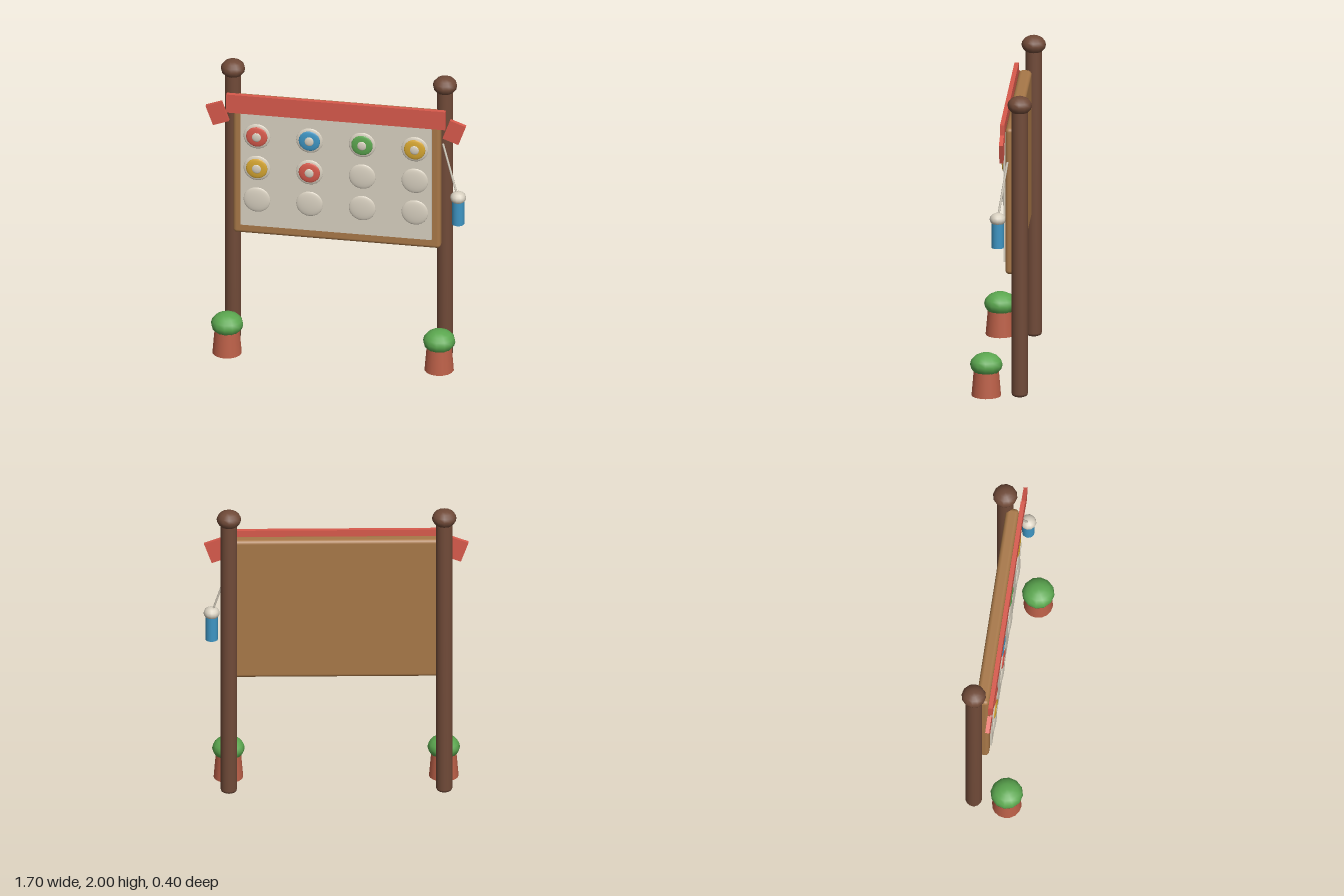
import * as THREE from 'three';
import { RoundedBoxGeometry } from 'three/addons/geometries/RoundedBoxGeometry.js';

const material = (name, color) => {
  const m = new THREE.MeshStandardMaterial({ color });
  m.name = name;
  return m;
};

export function createModel() {
  const group = new THREE.Group();
  group.name = 'stampBoard';
  const darkWood = material('dark wood', 0x704a38);
  const lightWood = material('light wood', 0xa87848);
  const cream = material('cream', 0xd8d0c0);
  const red = material('red', 0xd85a4c);
  const blue = material('blue', 0x3f96c4);
  const green = material('green', 0x5ca850);
  const yellow = material('yellow', 0xd8a832);
  const terracotta = material('terracotta', 0xbc6048);

  const add = (name, geometry, mat, x, y, z) => {
    const mesh = new THREE.Mesh(geometry, mat);
    mesh.name = name;
    mesh.position.set(x, y, z);
    group.add(mesh);
    return mesh;
  };
  const ellipsoid = (rx, ry, rz, w = 12, h = 8) => new THREE.SphereGeometry(1, w, h).scale(rx, ry, rz);
  const midX = -0.004; // centre line of the board

  // Posts with knobs, and a potted bush in front of each
  const postProfile = [[0, 0], [0.038, 0], [0.049, 0.007], [0.053, 0.02], [0.053, 1.92], [0, 1.92]]
    .map(([r, y]) => new THREE.Vector2(r, y));
  for (const [side, s] of [['left', 1], ['right', -1]]) {
    const x = midX + s * 0.69;
    add(side + 'Post', new THREE.LatheGeometry(postProfile, 16), darkWood, x, 0, -0.12);
    add(side + 'PostKnob', ellipsoid(0.079, 0.06, 0.079), darkWood, x, 1.94, -0.12);
    add(side + 'Pot', new THREE.CylinderGeometry(0.081, 0.095, 0.165, 16), terracotta, x, 0.0825, 0.094);
    add(side + 'Bush', ellipsoid(0.105, 0.076, 0.105), green, x, 0.206, 0.094);
  }

  // Board and paper sheet
  add('board', new RoundedBoxGeometry(1.35, 0.976, 0.084, 3, 0.025), lightWood, midX, 1.289, -0.068);
  add('paper', new THREE.BoxGeometry(1.242, 0.87, 0.014), cream, midX, 1.305, -0.02);

  // Ribbon across the top with tilted tails
  add('ribbon', new THREE.BoxGeometry(1.424, 0.13, 0.028), red, midX, 1.745, -0.009);
  for (const s of [1, -1]) {
    const tail = add(s > 0 ? 'leftRibbonTail' : 'rightRibbonTail',
      new THREE.BoxGeometry(0.11, 0.142, 0.026), red, midX + s * 0.771, 1.666, -0.01);
    tail.rotation.z = -s * 0.35;
  }

  // Grid of domes, the first six filled with coloured stamps
  const stamps = [red, blue, green, yellow, yellow, red];
  for (let i = 0; i < 12; i++) {
    const x = -0.519 + (i % 4) * 0.3425;
    const y = 1.517 - Math.floor(i / 4) * 0.228;
    add('stampSpot', ellipsoid(0.088, 0.088, 0.015, 24, 12), cream, x, y, -0.014);
    if (i < stamps.length) {
      add('stamp', ellipsoid(0.07, 0.07, 0.011, 20, 10), stamps[i], x, y, -0.005);
      add('stampCentre', ellipsoid(0.033, 0.033, 0.009, 10, 8), cream, x, y, 0.002);
    }
  }

  // Hanging stamper on its cord
  add('stamperBody', new THREE.CylinderGeometry(0.04, 0.04, 0.17, 16), blue, 0.795, 1.105, 0.014);
  add('stamperKnob', ellipsoid(0.052, 0.042, 0.052), cream, 0.795, 1.208, 0.014);
  const cord = new THREE.LineCurve3(new THREE.Vector3(0.686, 1.56, -0.042), new THREE.Vector3(0.79, 1.22, 0.012));
  add('cord', new THREE.TubeGeometry(cord, 1, 0.007, 6), cream, 0, 0, 0);

  return group;
}
